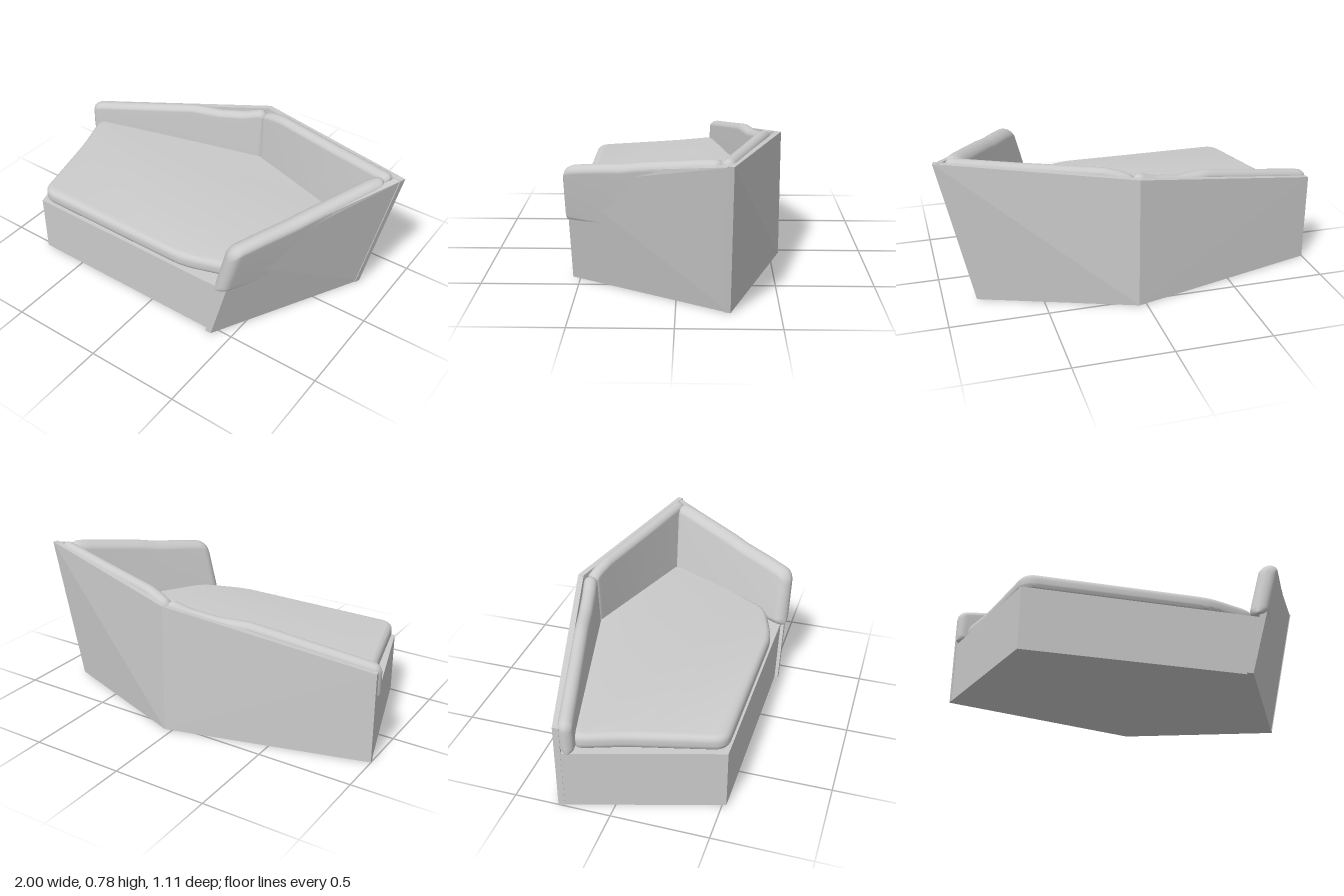
import * as THREE from 'three';
import { toCreasedNormals } from 'three/addons/utils/BufferGeometryUtils.js';
import { ConvexGeometry } from 'three/addons/geometries/ConvexGeometry.js';

const V = (x, y, z) => new THREE.Vector3(x, y, z);
const material = new THREE.MeshStandardMaterial({ color: 0xcccccc, side: THREE.DoubleSide });

function add(group, name, geometry) {
  const mesh = new THREE.Mesh(geometry, material);
  mesh.name = name;
  group.add(mesh);
}

// Flat board: an outer outline thickened by an inward offset
function board(outline, offset) {
  return new ConvexGeometry([...outline, ...outline.map((p) => p.clone().add(offset))]);
}

// Piecewise height along a cushion, eased between [u, height] stops
function heightAt(stops, u) {
  let i = 0;
  while (i < stops.length - 2 && u > stops[i + 1][0]) i++;
  const [u0, h0] = stops[i], [u1, h1] = stops[i + 1];
  return THREE.MathUtils.lerp(h0, h1, (u - u0) / (u1 - u0));
}

// Upright pillow: rounded sections swept from end a to end b, each end given
// by its centre at the bottom and at the top
function pillow(a, b, half, round, stops) {
  const bottom = 0.325, n = 48, m = 20;
  const axis = V().subVectors(b.top, a.top).setY(0);
  const length = axis.length();
  axis.normalize();
  const side = V(-axis.z, 0, axis.x);
  const position = [], index = [];
  const along = (end, y) => end.low.clone().lerp(end.top, (y - end.low.y) / (end.top.y - end.low.y));
  for (let i = 0; i <= n; i++) {
    const u = 0.5 - 0.5 * Math.cos((Math.PI * i) / n);
    const d = Math.min(1, (Math.min(u, 1 - u) * length) / round);
    const s = Math.sqrt(1 - (1 - d) ** 2), t = half * s;
    const top = heightAt(stops, u) - round * (1 - s), low = bottom + 0.3 * round * (1 - s);
    for (let j = 0; j < m; j++) {
      const q = ((j + 0.5) / m) * Math.PI * 2;
      const y = (q < Math.PI ? top - half : low + half) + half * Math.sin(q);
      const p = along(a, y).lerp(along(b, y), u).addScaledVector(side, t * Math.cos(q));
      position.push(p.x, y, p.z);
      if (i < n) {
        const k = i * m + j, l = i * m + ((j + 1) % m);
        index.push(k, k + m, l + m, k, l + m, l);
      }
    }
  }
  const g = new THREE.BufferGeometry();
  g.setAttribute('position', new THREE.Float32BufferAttribute(position, 3));
  g.setIndex(index);
  g.computeVertexNormals();
  return g;
}

// Closed outline with softened corners
function roundedShape(points, r) {
  const shape = new THREE.Shape();
  const P = points.map(([x, y]) => new THREE.Vector2(x, y));
  P.forEach((p, i) => {
    const toward = (q) => p.clone().add(q.clone().sub(p).setLength(Math.min(r, p.distanceTo(q) / 2)));
    const start = toward(P.at(i - 1)), end = toward(P[(i + 1) % P.length]);
    if (i) shape.lineTo(start.x, start.y);
    else shape.moveTo(start.x, start.y);
    shape.quadraticCurveTo(p.x, p.y, end.x, end.y);
  });
  shape.closePath();
  return shape;
}

export function createModel() {
  const group = new THREE.Group();
  group.name = 'cornerSofa';

  // Five-sided base, its right side leaning outward
  const plan = [[-0.76, 0.52, 0], [0.38, 0.52, 0.08], [0.81, -0.26, 0.07], [0.04, -0.54, 0], [-0.995, -0.25, 0]];
  add(group, 'base', new ConvexGeometry(
    plan.flatMap(([x, z, lean]) => [V(x, 0, z), V(x + lean, 0.325, z)])));

  // Outer boards
  add(group, 'leftBackBoard', board(
    [V(-1, 0, -0.27), V(0.04, 0, -0.55), V(0.04, 0.69, -0.545), V(-1, 0.48, -0.27)], V(0.005, 0, 0.03)));
  add(group, 'rightBackBoard', board(
    [V(0.04, 0, -0.55), V(0.83, 0, -0.262), V(1, 0.77, -0.262), V(0.04, 0.69, -0.545)], V(-0.01, 0, 0.03)));
  add(group, 'armBoard', board(
    [V(0.4, 0, 0.54), V(0.83, 0, -0.262), V(1, 0.77, -0.262), V(0.575, 0.62, 0.488), V(0.545, 0.55, 0.54)],
    V(-0.035, 0, 0)));

  // Seat cushion
  const seat = new THREE.ExtrudeGeometry(roundedShape([
    [-0.96, -0.2], [0.04, -0.47], [0.79, -0.26], [0.8, -0.1], [0.46, 0.43], [0.2, 0.515],
    [-0.75, 0.515], [-0.87, 0.05]], 0.07), {
    depth: 0.02, bevelThickness: 0.034, bevelSize: 0.034, bevelOffset: -0.034, bevelSegments: 6, curveSegments: 8,
  });
  seat.rotateX(Math.PI / 2).translate(0, 0.378, 0);
  add(group, 'seatCushion', toCreasedNormals(seat, 0.9));

  // Back and arm cushions
  add(group, 'leftBackCushion', pillow(
    { low: V(-1, 0.33, -0.205), top: V(-1, 0.7, -0.215) },
    { low: V(0.06, 0.33, -0.465), top: V(0.06, 0.7, -0.478) }, 0.037, 0.035,
    [[0, 0.5], [0.05, 0.515], [0.6, 0.635], [0.75, 0.64], [0.88, 0.665], [0.96, 0.695], [1, 0.69]]));
  add(group, 'rightBackCushion', pillow(
    { low: V(0.045, 0.33, -0.465), top: V(0.045, 0.75, -0.478) },
    { low: V(0.84, 0.33, -0.21), top: V(0.94, 0.77, -0.23) }, 0.036, 0.03,
    [[0, 0.685], [0.07, 0.71], [0.16, 0.73], [0.6, 0.755], [0.95, 0.78], [1, 0.775]]));
  add(group, 'armCushion', pillow(
    { low: V(0.82, 0.33, -0.22), top: V(0.91, 0.77, -0.22) },
    { low: V(0.435, 0.33, 0.55), top: V(0.51, 0.62, 0.55) }, 0.05, 0.045,
    [[0, 0.775], [0.1, 0.77], [0.3, 0.74], [0.5, 0.71], [0.6, 0.69], [0.8, 0.665], [0.93, 0.645], [1, 0.625]]));

  return group;
}
